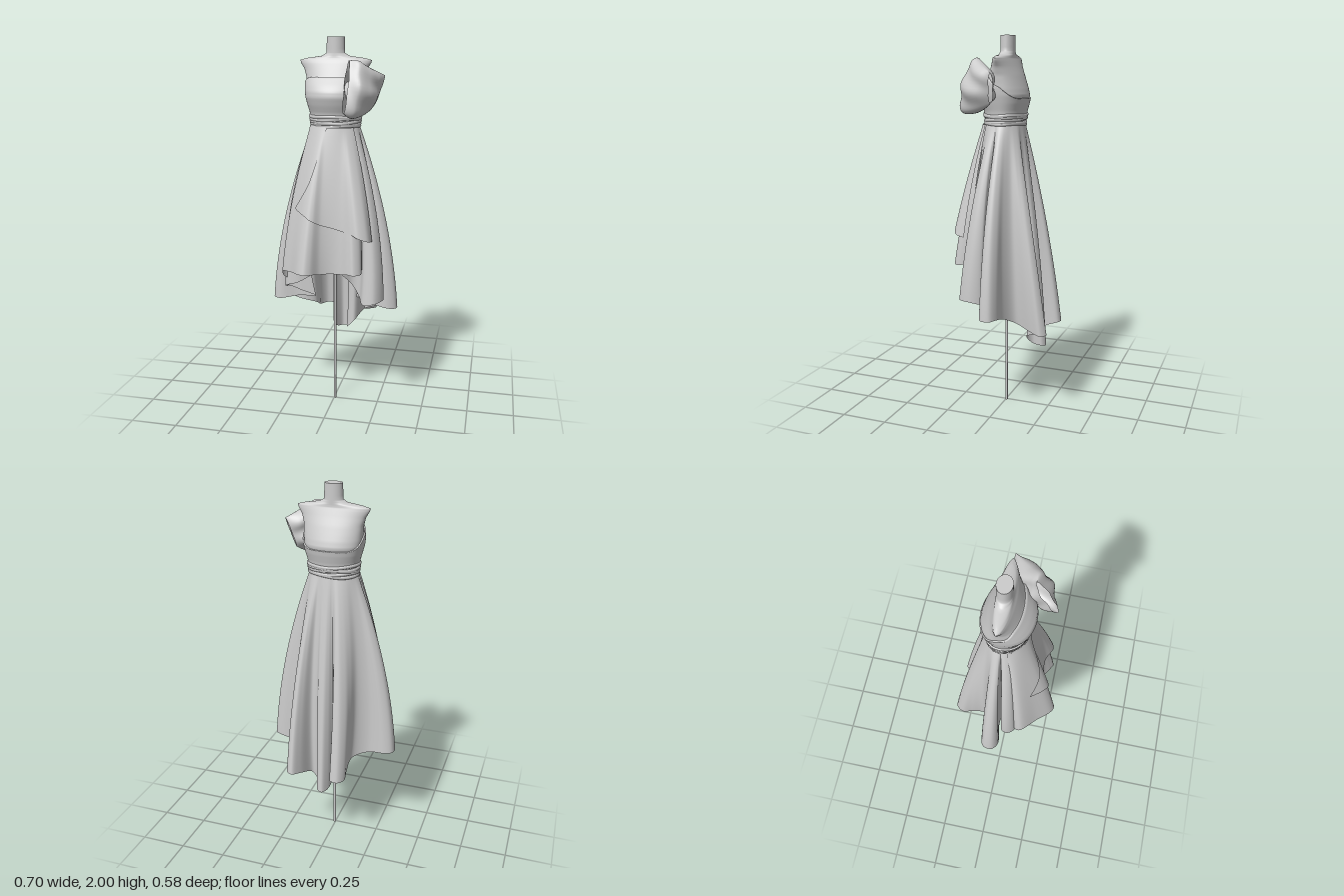
import * as THREE from 'three';
import { mergeVertices } from 'three/addons/utils/BufferGeometryUtils.js';

const material = new THREE.MeshStandardMaterial({ color: 0xcccccc, side: THREE.DoubleSide });
const { lerp, smoothstep } = THREE.MathUtils;
const V = (x, y, z) => new THREE.Vector3(x, y, z);
const WAIST = 1.55;

// Grid surface from a rule: u runs round the body, v runs upwards
function surface(name, rule, nu, nv) {
  const pos = [], index = [];
  for (let j = 0; j <= nv; j++)
    for (let i = 0; i <= nu; i++) pos.push(...rule(i / nu, j / nv).toArray());
  for (let j = 0; j < nv; j++)
    for (let i = 0; i < nu; i++) {
      const a = j * (nu + 1) + i, b = a + nu + 1;
      index.push(a, a + 1, b, b, a + 1, b + 1);
    }
  let g = new THREE.BufferGeometry();
  g.setAttribute('position', new THREE.Float32BufferAttribute(pos, 3));
  g.setIndex(index);
  g = mergeVertices(g, 1e-5);
  g.computeVertexNormals();
  const mesh = new THREE.Mesh(g, material);
  mesh.name = name;
  return mesh;
}

// Body sections: height, half width, front z, back z, pointedness of the sides
const sections = [
  [1.45, .118, .09, -.09, 1], [1.56, .12, .095, -.092, 1], [1.62, .127, .102, -.102, .9],
  [1.66, .137, .118, -.112, .8], [1.70, .146, .13, -.119, .75], [1.73, .149, .125, -.111, .75],
  [1.76, .15, .105, -.1, .75], [1.80, .153, .072, -.085, .8], [1.84, .165, .055, -.068, .95],
  [1.87, .184, .042, -.056, 1.15], [1.885, .188, .034, -.05, 1.25], [1.895, .15, .03, -.049, 1.2],
  [1.905, .075, .028, -.049, 1.1], [1.92, .048, .026, -.049, 1], [2.0, .046, .025, -.049, 1],
];
const sectionAt = new THREE.LinearInterpolant(
  sections.map(s => s[0]), sections.flatMap(s => s.slice(1)), 4, new Float32Array(4));

function bodyPoint(angle, y, grow = 0) {
  const [rx, front, back, p] = sectionAt.evaluate(y);
  const s = Math.sin(angle), c = Math.cos(angle), side = -.012;
  const depth = (c > 0 ? front - side : side - back) + grow;
  return V(.006 + (rx + grow) * s, y, side + depth * Math.sign(c) * Math.abs(c) ** p);
}

// Skirt layer: waist ring blends through a smooth flare into a folded hem curve
function skirtRule(points, closed, grow, flareX, flareZ) {
  const curve = new THREE.CatmullRomCurve3(points.map(p => V(...p)), closed, 'centripetal');
  const N = 480, W = 24, raw = [], hem = [];
  for (let i = 0; i <= N; i++) {
    const p = curve.getPoint(i / N);
    let a = Math.atan2(p.x, p.z);
    if (i) a += Math.round((raw[i - 1] - a) / (2 * Math.PI)) * 2 * Math.PI;
    raw.push(a);
    hem.push(p);
  }
  const rawAt = i => closed
    ? raw[((i % N) + N) % N] + Math.floor(i / N) * 2 * Math.PI
    : raw[Math.min(N, Math.max(0, i))];
  // Averaged angles keep the waist smooth where hem folds double back
  const angles = raw.map((_, i) => {
    let sum = 0;
    for (let k = -W; k <= W; k++) sum += rawAt(i + k);
    return sum / (2 * W + 1);
  });
  return (u, t) => {
    const f = Math.min(N, Math.max(0, u * N)), i = Math.min(N - 1, Math.floor(f));
    const a = lerp(angles[i], angles[i + 1], f - i);
    const h = hem[i].clone().lerp(hem[i + 1], f - i);
    const w = bodyPoint(a, WAIST, grow);
    const m = V(Math.sin(a) * flareX, 0, Math.cos(a) * flareZ).lerp(h, .42);
    m.y = (w.y + h.y) / 2;
    return w.multiplyScalar((1 - t) ** 2).addScaledVector(m, 2 * t * (1 - t)).addScaledVector(h, t * t);
  };
}

// Hems listed from the front centre towards +x and round the back
const mainHem = [
  [0, .82, .12], [.06, .79, .14], [.12, .72, .1], [.16, .66, .11], [.19, .63, .165], [.25, .64, .17],
  [.29, .645, .1], [.26, .63, .035], [.19, .63, .04], [.13, .63, .03], [.19, .6, .02], [.3, .575, .035],
  [.345, .57, .01], [.345, .57, -.035], [.3, .57, -.06], [.22, .55, -.065], [.15, .51, -.115],
  [.18, .48, -.21], [.195, .47, -.26], [.16, .47, -.285], [.125, .46, -.24], [.085, .42, -.15],
  [.04, .37, -.17], [.035, .36, -.22], [.005, .355, -.235], [-.02, .36, -.2], [-.035, .4, -.15],
  [-.045, .45, -.22], [-.06, .47, -.28], [-.1, .47, -.288], [-.13, .47, -.25], [-.125, .49, -.19],
  [-.13, .53, -.11], [-.21, .56, -.07], [-.3, .58, -.09], [-.345, .58, -.07], [-.35, .58, -.02],
  [-.31, .58, .01], [-.2, .6, -.005], [-.1, .61, .01], [-.18, .64, .02], [-.245, .66, .015],
  [-.262, .67, .05], [-.24, .69, .09], [-.18, .71, .1], [-.11, .75, .08], [-.05, .81, .1],
];
const frontHem = [
  [-.2, .72, .06], [-.25, .74, .1], [-.255, .78, .135], [-.19, .8, .205], [-.13, .81, .275],
  [-.1, .81, .287], [-.07, .81, .272], [-.03, .8, .22], [.02, .8, .195], [.07, .8, .195],
  [.12, .81, .225], [.15, .81, .238], [.185, .81, .21], [.18, .82, .14],
];

function makeSkirt() {
  const skirt = new THREE.Group();
  skirt.name = 'skirt';
  const main = skirtRule(mainHem, true, .008, .29, .175);
  const front = skirtRule(frontHem, false, .016, .23, .18);
  // Wrap layer follows the front panel with a slanted edge and a shorter hem
  const wrap = (s, v) => {
    const end = .55 + .17 * s ** .7 + .07 * s ** 3, t = end * (1 - v);
    const p = front(lerp(.53 - .31 * t / .55, 1, s), t);
    const out = V(p.x, 0, p.z).normalize().multiplyScalar(.007);
    return p.add(out).add(V(.065 * s ** 3 * t, 0, .015 * s * t));
  };
  skirt.add(
    surface('mainSkirt', (u, v) => main(u, 1 - v), 320, 40),
    surface('frontPanel', (u, v) => front(u, 1 - v), 120, 36),
    surface('wrapPanel', wrap, 80, 32));
  return skirt;
}

// Mannequin torso with a closed neck, on a thin pole
function makeMannequin() {
  const form = new THREE.Group();
  form.name = 'mannequin';
  const heights = [];
  sections.slice(1).forEach((s, i) => {
    for (let k = 0; k < 4; k++) heights.push(lerp(sections[i][0], s[0], k / 4));
  });
  heights.push(2);
  const last = heights.length - 1;
  const torso = surface('torso',
    (u, v) => bodyPoint(u * 2 * Math.PI, heights[Math.round(v * last)]), 96, last);
  const cap = surface('neckTop',
    (u, v) => bodyPoint(u * 2 * Math.PI, 2).lerp(V(.006, 2, -.012), v), 96, 1);
  const pole = new THREE.Mesh(new THREE.CylinderGeometry(.007, .007, 1.5, 20), material);
  pole.name = 'pole';
  pole.position.set(.005, .75, -.004);
  form.add(torso, cap, pole);
  return form;
}

// Strapless bodice, high at the front and dipping at the back
function makeBodice() {
  return surface('bodice', (u, v) => {
    const a = u * 2 * Math.PI;
    const top = 1.685 + .115 * smoothstep(Math.cos(a), -.8, .75);
    return bodyPoint(a, lerp(1.54, top, Math.min(1, v / .96)), v > .97 ? .001 : .008);
  }, 96, 30);
}

// Sash of overlapping, crumpled folds
function makeSash() {
  const sash = new THREE.Group();
  sash.name = 'sash';
  for (let k = 0; k < 5; k++) {
    sash.add(surface('sashFold', (u, v) => {
      const a = u * 2 * Math.PI, b = v * 2 * Math.PI;
      const y = 1.552 + k * .012 + .004 * Math.sin(a + k * 2.3) + .003 * Math.sin(a * 3 + k * 1.9);
      const p = bodyPoint(a, y, .009 - .006 * Math.cos(b));
      p.y += .009 * Math.sin(b);
      return p;
    }, 80, 10));
  }
  return sash;
}

// Folded bow: lens-shaped sections from the open end to the outer edge, fuller towards the body
function makeBow() {
  const tops = [[.1, 1.885, .11], [.14, 1.885, .105], [.18, 1.855, .065], [.225, 1.83, .02], [.262, 1.81, -.015]];
  const lows = [[.095, 1.63, .22], [.125, 1.605, .18], [.16, 1.61, .115], [.195, 1.635, .05], [.212, 1.66, .005]];
  const widths = [[.016, 0, 0], [.05, 0, 0], [.058, 0, 0], [.042, 0, 0], [.01, 0, 0]];
  const [top, low, width] = [tops, lows, widths].map(
    list => new THREE.CatmullRomCurve3(list.map(p => V(...p))));
  return surface('bow', (u, v) => {
    const a = u * 2 * Math.PI, c = Math.cos(a), s = Math.sin(a);
    const p = low.getPoint(v).lerp(top.getPoint(v), .5 + .5 * c);
    const ripple = 1 + .18 * Math.sin(c * 6 + v * 5);
    const w = width.getPoint(v).x * s * ripple * (s < 0 ? 1.35 : 1);
    return p.add(V(.7 * w, .1 * w, .7 * w));
  }, 48, 28);
}

export function createModel() {
  const model = new THREE.Group();
  model.name = 'dressOnStand';
  model.add(makeMannequin(), makeBodice(), makeSash(), makeBow(), makeSkirt());
  return model;
}
